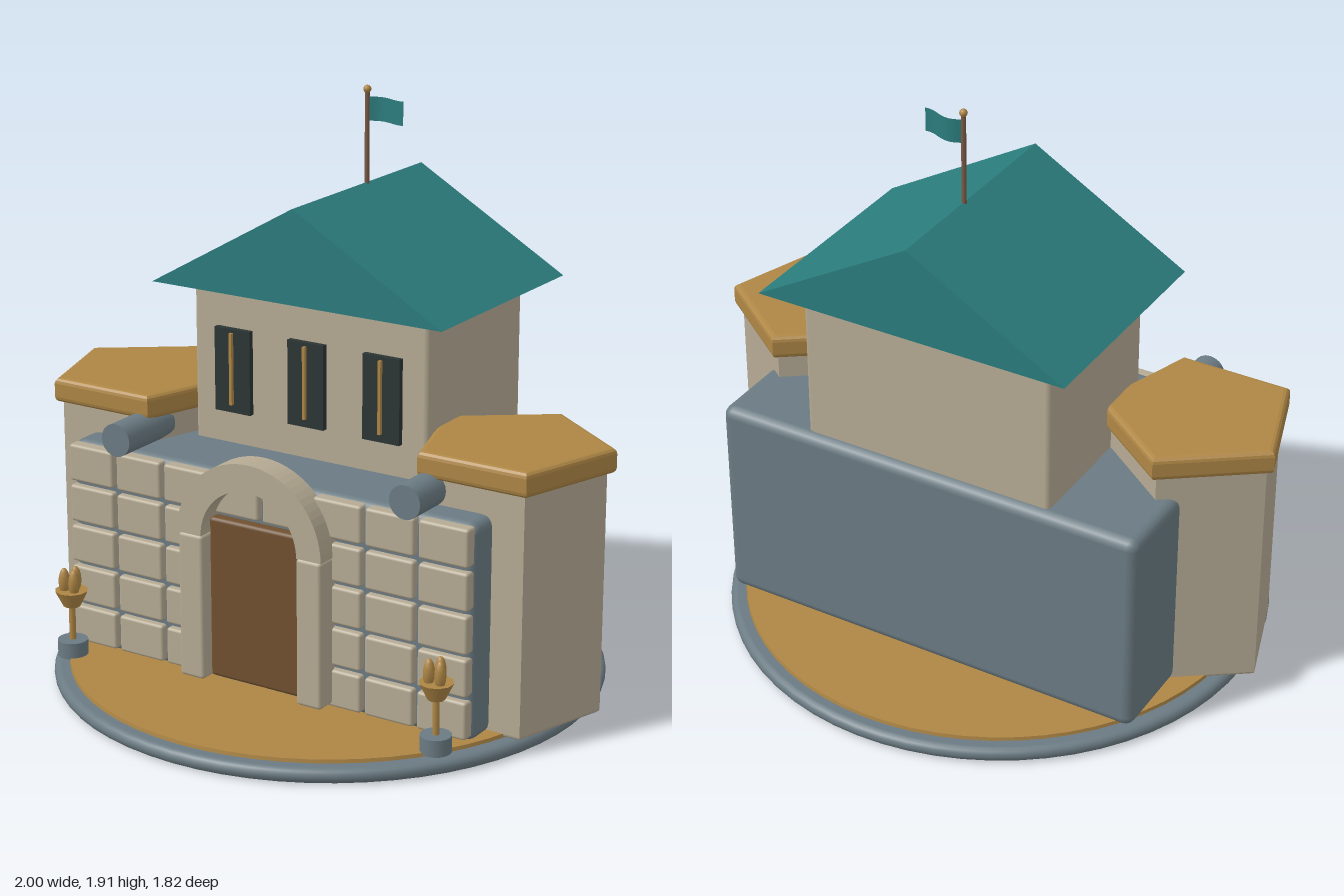
import * as THREE from 'three';
import { RoundedBoxGeometry } from 'three/addons/geometries/RoundedBoxGeometry.js';

const material = (name, color, extra = {}) => {
  const m = new THREE.MeshStandardMaterial({ color, ...extra });
  m.name = name;
  return m;
};

export function createModel() {
  const stone = material('sandstone', 0xb5aa93);
  const slate = material('slate', 0x6b7b83);
  const ochre = material('ochre', 0xae8645);
  const teal = material('teal', 0x2b7c7d, { side: THREE.DoubleSide });
  const wood = material('door wood', 0x70502f);
  const dark = material('window dark', 0x2c3535);
  const poleBrown = material('pole brown', 0x7a5a45);

  const model = new THREE.Group();
  model.name = 'fortress';

  const add = (name, geometry, mat, x = 0, y = 0, z = 0, parent = model) => {
    const mesh = new THREE.Mesh(geometry, mat);
    mesh.name = name;
    mesh.position.set(x, y, z);
    parent.add(mesh);
    return mesh;
  };
  // Rounded box given by its extents
  const block = (name, mat, [x0, x1], [y0, y1], [z0, z1], radius) =>
    add(name, new RoundedBoxGeometry(x1 - x0, y1 - y0, z1 - z0, 2, radius), mat,
      (x0 + x1) / 2, (y0 + y1) / 2, (z0 + z1) / 2);

  // Pentagonal prism with bevelled edges, one corner pointing to the back
  const pentagon = (radius, height, bevel) => {
    const r = radius - bevel / Math.cos(Math.PI / 5);
    const points = [];
    for (let i = 0; i < 5; i++) {
      const a = Math.PI / 2 + (i * Math.PI * 2) / 5;
      points.push(new THREE.Vector2(r * Math.cos(a), r * Math.sin(a)));
    }
    const g = new THREE.ExtrudeGeometry(new THREE.Shape(points), {
      depth: height - 2 * bevel, bevelEnabled: true, bevelSize: bevel,
      bevelThickness: bevel, bevelSegments: 3,
    });
    g.translate(0, 0, bevel);
    g.rotateX(-Math.PI / 2);
    return g;
  };

  // Round base with a soft rim, and the courtyard floor on top
  const rim = [[0, 0], [0.885, 0]];
  for (let i = 0; i <= 8; i++) {
    const a = -Math.PI / 2 + (i * Math.PI) / 8;
    rim.push([0.883 + 0.025 * Math.cos(a), 0.025 + 0.025 * Math.sin(a)]);
  }
  rim.push([0, 0.05]);
  add('base', new THREE.LatheGeometry(rim.map(p => new THREE.Vector2(...p)), 64), slate);
  add('courtyard', new THREE.CylinderGeometry(0.855, 0.86, 0.03, 64), ochre, 0, 0.047, 0);

  // Main hall and upper keep
  block('hall', slate, [-0.757, 0.757], [0.05, 0.763], [-0.495, 0.383], 0.035);
  block('keep', stone, [-0.44, 0.44], [0.7, 1.284], [-0.462, 0.127], 0.018);

  // Stone facing: grid of blocks on the front wall
  const brick = new RoundedBoxGeometry(0.174, 0.125, 0.05, 2, 0.01);
  for (let row = 0; row < 5; row++) {
    for (let col = 0; col < 8; col++) {
      add('facingStone', brick, stone, (col - 3.5) * 0.189, 0.133 + row * 0.14, 0.383);
    }
  }

  // Doorway: door, two jambs and a round arch
  block('door', wood, [-0.176, 0.176], [0.085, 0.625], [0.39, 0.435], 0.012);
  for (const s of [-1, 1]) {
    const jamb = block('doorJamb', stone, [-0.046, 0.046], [0.08, 0.57], [0.385, 0.475], 0.012);
    jamb.position.x = s * 0.222;
  }
  const ring = new THREE.Shape();
  ring.absarc(0, 0, 0.27, 0, Math.PI, false);
  ring.absarc(0, 0, 0.18, Math.PI, 0, true);
  add('doorArch', new THREE.ExtrudeGeometry(ring, { depth: 0.09, bevelEnabled: false, curveSegments: 18 }),
    stone, 0, 0.57, 0.385);

  // Windows with a central bar
  for (const x of [-0.28, 0, 0.28]) {
    add('window', new THREE.BoxGeometry(0.135, 0.28, 0.02), dark, x, 1.012, 0.136);
    add('windowBar', new THREE.BoxGeometry(0.01, 0.24, 0.012), ochre, x, 1.02, 0.152);
  }

  // Gable roof
  const gable = new THREE.Shape([
    new THREE.Vector2(-0.538, 0), new THREE.Vector2(0.538, 0), new THREE.Vector2(0, 0.308),
  ]);
  add('roof', new THREE.ExtrudeGeometry(gable, { depth: 0.776, bevelEnabled: false }), teal, 0, 1.29, -0.557);

  // Flag on the ridge
  add('flagPole', new THREE.CylinderGeometry(0.008, 0.008, 0.32, 10), poleBrown, 0, 1.735, -0.218);
  add('poleKnob', new THREE.SphereGeometry(0.013, 12, 8), ochre, 0, 1.9, -0.218);
  const cloth = new THREE.PlaneGeometry(0.136, 0.078, 10, 1);
  const p = cloth.attributes.position;
  for (let i = 0; i < p.count; i++) {
    const t = p.getX(i) / 0.136 + 0.5;
    p.setZ(i, -0.013 * Math.sin(t * Math.PI * 1.6));
  }
  cloth.computeVertexNormals();
  add('flag', cloth, teal, 0.073, 1.837, -0.218);

  // Side towers, spouts and braziers, mirrored left and right
  const towerBody = pentagon(0.292, 0.81, 0.012);
  const towerCap = pentagon(0.321, 0.082, 0.018);
  const spout = new THREE.CylinderGeometry(0.055, 0.055, 0.25, 20).rotateX(Math.PI / 2);
  const foot = new THREE.CylinderGeometry(0.05, 0.05, 0.055, 16);
  const stem = new THREE.CylinderGeometry(0.011, 0.011, 0.14, 8);
  const bowl = new THREE.CylinderGeometry(0.055, 0.028, 0.055, 10);
  const flame = new THREE.SphereGeometry(0.019, 8, 8).scale(1, 2.5, 1);
  for (const s of [-1, 1]) {
    add('towerBody', towerBody, stone, s * 0.695, 0.05, 0.042);
    add('towerCap', towerCap, ochre, s * 0.695, 0.846, 0.042);
    add('spout', spout, slate, s * 0.54, 0.81, 0.305);

    const brazier = new THREE.Group();
    brazier.name = 'brazier';
    brazier.position.set(s * 0.692, 0, 0.487);
    model.add(brazier);
    add('brazierFoot', foot, slate, 0, 0.085, 0, brazier);
    add('brazierStem', stem, ochre, 0, 0.17, 0, brazier);
    add('brazierBowl', bowl, ochre, 0, 0.257, 0, brazier);
    for (let i = 0; i < 3; i++) {
      const a = -Math.PI / 2 + (i * Math.PI * 2) / 3;
      add('flame', flame, ochre, 0.023 * Math.cos(a), 0.313, 0.023 * Math.sin(a), brazier);
    }
  }

  return model;
}
